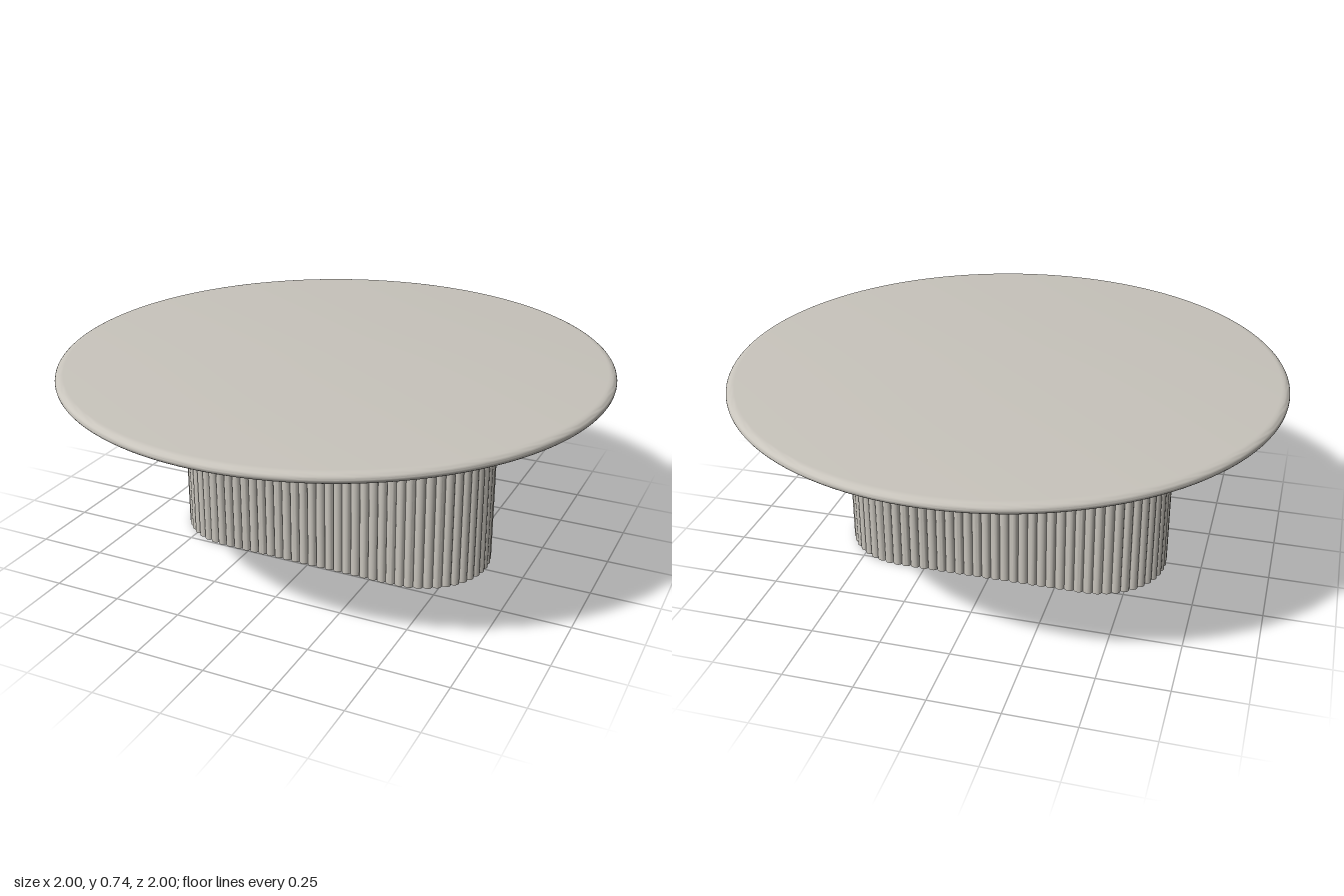
import * as THREE from 'three';
import { toCreasedNormals } from 'three/addons/utils/BufferGeometryUtils.js';

const TOP_Y = 0.74, UNDER_Y = 0.70;

// Round top with a softly rounded rim
function tabletopGeometry() {
  const half = (TOP_Y - UNDER_Y) / 2, rim = 0.03, steps = 12;
  const profile = [new THREE.Vector2(0, UNDER_Y)];
  for (let i = 0; i <= steps; i++) {
    const a = -Math.PI / 2 + (i / steps) * Math.PI;
    profile.push(new THREE.Vector2(1 - rim + rim * Math.cos(a), UNDER_Y + half + half * Math.sin(a)));
  }
  profile.push(new THREE.Vector2(0, TOP_Y));
  return toCreasedNormals(new THREE.LatheGeometry(profile, 128), 0.6);
}

// Stadium outline whose edge is a run of convex reeds
function reededShape(halfStraight, radius, reeds, segments) {
  const outline = new THREE.Path();
  outline.absarc(halfStraight, 0, radius, -Math.PI / 2, Math.PI / 2, false);
  outline.absarc(-halfStraight, 0, radius, Math.PI / 2, Math.PI * 1.5, false);
  outline.closePath();
  const base = outline.getSpacedPoints(reeds);
  const spread = THREE.MathUtils.degToRad(70);
  const points = [];
  for (let i = 0; i < reeds; i++) {
    const p = base[i], q = base[i + 1];
    const mid = p.clone().add(q).multiplyScalar(0.5);
    const along = q.clone().sub(p);
    const r = along.length() / 2 / Math.sin(spread);
    along.normalize();
    const out = new THREE.Vector2(along.y, -along.x);
    for (let j = 0; j < segments; j++) {
      const a = -spread + (2 * spread * j) / segments;
      points.push(mid.clone()
        .addScaledVector(along, r * Math.sin(a))
        .addScaledVector(out, r * (Math.cos(a) - Math.cos(spread))));
    }
  }
  return new THREE.Shape(points);
}

export function createModel() {
  const group = new THREE.Group();
  group.name = 'pedestalTable';
  const stone = new THREE.MeshStandardMaterial({ color: 0xc8c4bc });
  stone.name = 'warmGrey';

  const top = new THREE.Mesh(tabletopGeometry(), stone);
  top.name = 'tabletop';

  // Fluted pedestal, slightly off centre
  const reeded = new THREE.ExtrudeGeometry(reededShape(0.35, 0.253, 86, 6), { depth: UNDER_Y, bevelEnabled: false });
  reeded.rotateX(-Math.PI / 2);
  const pedestal = new THREE.Mesh(toCreasedNormals(reeded, 0.6), stone);
  pedestal.name = 'pedestal';
  pedestal.position.set(-0.005, 0, -0.015);

  group.add(top, pedestal);
  return group;
}
